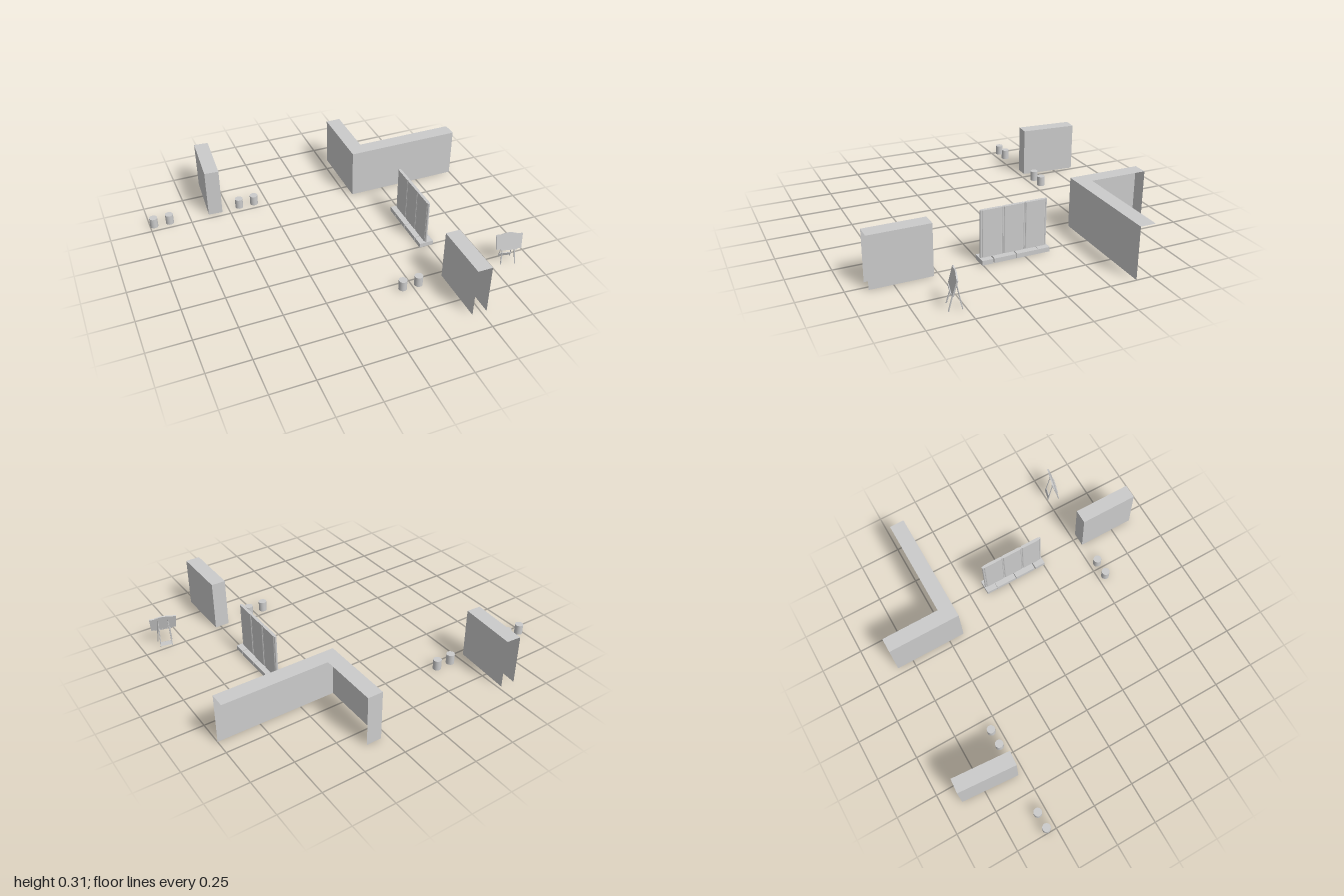
import * as THREE from 'three';

const mat = new THREE.MeshStandardMaterial({ color: 0xcccccc, side: THREE.DoubleSide, flatShading: true });
const smooth = new THREE.MeshStandardMaterial({ color: 0xcccccc, side: THREE.DoubleSide });
const TOP = 0.305;

function add(parent, name, geo, x = 0, y = 0, z = 0, m = mat) {
  const mesh = new THREE.Mesh(geo, m);
  mesh.name = name;
  mesh.position.set(x, y, z);
  parent.add(mesh);
  return mesh;
}

// Thin-walled box without the listed faces (0 +x, 1 -x, 2 +y, 3 -y, 4 +z, 5 -z)
function shell(w, h, d, open) {
  const geo = new THREE.BoxGeometry(w, h, d);
  const index = Array.from(geo.index.array);
  geo.setIndex(index.filter((_, i) => !open.includes(Math.floor(i / 6))));
  geo.clearGroups();
  return geo;
}

// Round bar between two points
function bar(parent, name, a, b, r) {
  const path = new THREE.LineCurve3(new THREE.Vector3(...a), new THREE.Vector3(...b));
  return add(parent, name, new THREE.TubeGeometry(path, 1, r, 6), 0, 0, 0, smooth);
}

// L-shaped counter: top, outer walls and end wall, open on the inner side
function counter() {
  const g = new THREE.Group();
  g.name = 'cornerCounter';
  const x0 = 0.29, x1 = 1, z0 = -0.85, z1 = -0.405, t = 0.09;
  const s = new THREE.Shape([[x0, -z1], [x1, -z1], [x1, t - z1], [x0 + t, t - z1], [x0 + t, -z0], [x0, -z0]]
    .map(p => new THREE.Vector2(...p)));
  add(g, 'counterTop', new THREE.ShapeGeometry(s).rotateX(-Math.PI / 2), 0, TOP, 0);
  add(g, 'frontWall', new THREE.PlaneGeometry(x1 - x0, TOP), (x0 + x1) / 2, TOP / 2, z1);
  add(g, 'sideWall', new THREE.PlaneGeometry(z1 - z0, TOP).rotateY(-Math.PI / 2), x0, TOP / 2, (z0 + z1) / 2);
  add(g, 'endWall', new THREE.PlaneGeometry(t, TOP).rotateY(Math.PI), x0 + t / 2, TOP / 2, z0);
  return g;
}

// Row of three upright panels between posts, on hollow foot blocks
function panelStand() {
  const g = new THREE.Group();
  g.name = 'panelStand';
  g.position.x = 0.488;
  for (const [a, b] of [[0.19, 0.256], [0.054, 0.184], [-0.08, 0.05], [-0.15, -0.082]]) {
    add(g, 'footBlock', shell(0.087, 0.027, b - a, [3]), 0, 0.0135, (a + b) / 2);
  }
  const posts = [0.245, 0.117, -0.011, -0.139];
  for (const z of posts) add(g, 'post', new THREE.CylinderGeometry(0.007, 0.007, 0.28, 10), 0, 0.165, z, smooth);
  const pill = new THREE.Shape();
  pill.absarc(0.052, 0, 0.009, -Math.PI / 2, Math.PI / 2);
  pill.absarc(-0.052, 0, 0.009, Math.PI / 2, Math.PI * 1.5);
  const geo = new THREE.ExtrudeGeometry(pill, { depth: 0.278, bevelEnabled: false, curveSegments: 6 });
  geo.rotateX(-Math.PI / 2).rotateY(Math.PI / 2);
  for (let i = 0; i < 3; i++) add(g, 'panel', geo, 0, 0.027, (posts[i] + posts[i + 1]) / 2);
  return g;
}

// Sign board on a folding easel
function easel() {
  const g = new THREE.Group();
  g.name = 'easelSign';
  g.position.set(0.855, 0, 0.558);
  g.rotation.y = -0.25;

  // Leaning front frame
  const front = new THREE.Group();
  front.name = 'frontFrame';
  front.position.z = 0.032;
  front.rotation.x = -0.25;
  g.add(front);
  const s = new THREE.Shape();
  s.moveTo(-0.073, 0.102);
  s.lineTo(0.073, 0.102);
  s.lineTo(0.079, 0.193);
  s.lineTo(0.05, 0.193);
  s.quadraticCurveTo(0, 0.213, -0.05, 0.193);
  s.lineTo(-0.079, 0.193);
  const board = new THREE.ExtrudeGeometry(s, { depth: 0.008, bevelEnabled: false, curveSegments: 6 });
  add(front, 'signBoard', board, 0, 0, -0.004);
  add(front, 'ledge', new THREE.BoxGeometry(0.1, 0.006, 0.014), 0, 0.1, 0.002);
  for (const k of [-1, 1]) {
    bar(front, 'frontLeg', [k * 0.042, 0.002, -0.006], [k * 0.03, 0.18, -0.006], 0.0035);
    bar(g, 'rearLeg', [k * 0.034, 0.003, -0.045], [k * 0.028, 0.16, -0.014], 0.003);
  }
  // Slat joining the rear legs
  add(g, 'rearSlat', new THREE.BoxGeometry(0.072, 0.024, 0.004), 0, 0.022, -0.041).rotation.x = 0.35;
  return g;
}

export function createModel() {
  const model = new THREE.Group();
  model.name = 'exhibitionArea';
  model.add(counter(), panelStand(), easel());

  // Two kiosks, each open underneath and at its outer end
  const d = 0.352;
  add(model, 'rearKiosk', shell(0.087, TOP, d, [3, 5]), -0.576, TOP / 2, -0.711).rotation.y = -0.075;
  add(model, 'frontKiosk', shell(0.087, TOP, d, [3, 4]), 0.488, TOP / 2, 0.707);

  // Round stools, hollow underneath
  const seat = new THREE.CircleGeometry(0.0245, 20).rotateX(-Math.PI / 2);
  const side = new THREE.CylinderGeometry(0.0245, 0.0245, 0.062, 20, 1, true);
  for (const [x, z] of [[-0.975, -0.55], [-0.877, -0.55], [-0.43, -0.55], [-0.332, -0.55], [0.19, 0.547], [0.288, 0.547]]) {
    const stool = new THREE.Group();
    stool.name = 'stool';
    stool.position.set(x, 0, z);
    add(stool, 'stoolSeat', seat, 0, 0.062, 0, smooth);
    add(stool, 'stoolSide', side, 0, 0.031, 0, smooth);
    model.add(stool);
  }
  return model;
}
